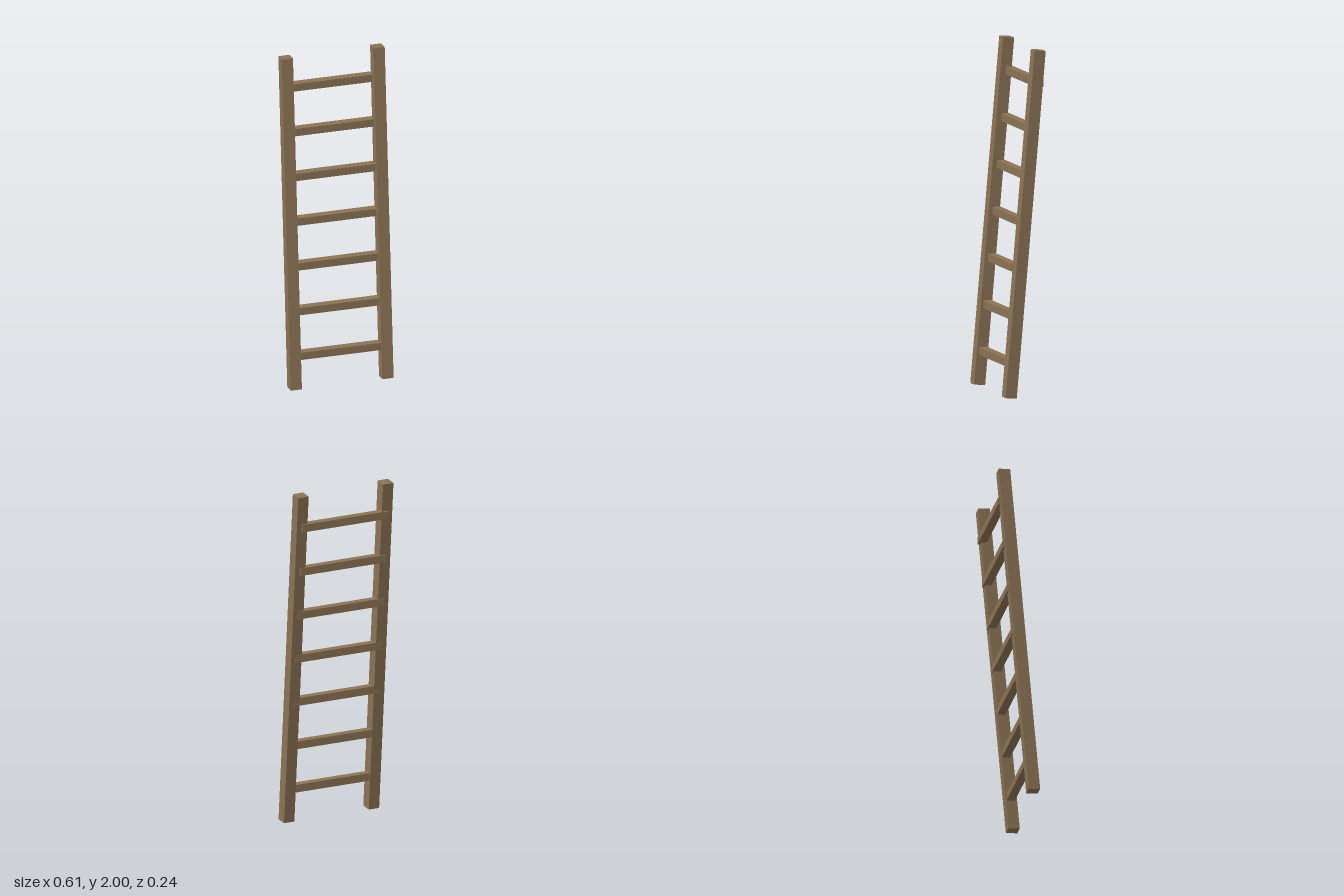
import * as THREE from 'three';

export function createModel() {
  const group = new THREE.Group();
  group.name = 'ladder';
  const wood = new THREE.MeshStandardMaterial({ color: 0x8b7355, flatShading: true });

  // A named wooden beam
  function beam(name, size, position) {
    const mesh = new THREE.Mesh(new THREE.BoxGeometry(...size), wood);
    mesh.name = name;
    mesh.position.set(...position);
    group.add(mesh);
    return mesh;
  }

  // Side rails, leaning backwards
  const lean = 0.0876;
  for (const [name, side] of [['leftRail', 1], ['rightRail', -1]]) {
    beam(name, [0.067, 2.002, 0.067], [side * 0.273, 1, 0]).rotation.x = -lean;
  }

  // Level rungs, let into the rails and stepping back as they rise
  const rungCount = 7;
  for (let i = 0; i < rungCount; i++) {
    const step = i - (rungCount - 1) / 2;
    beam(`rung${i + 1}`, [0.554, 0.045, 0.047], [0, 1.002 + step * 0.268, -0.0135 - step * 0.027]);
  }

  return group;
}
